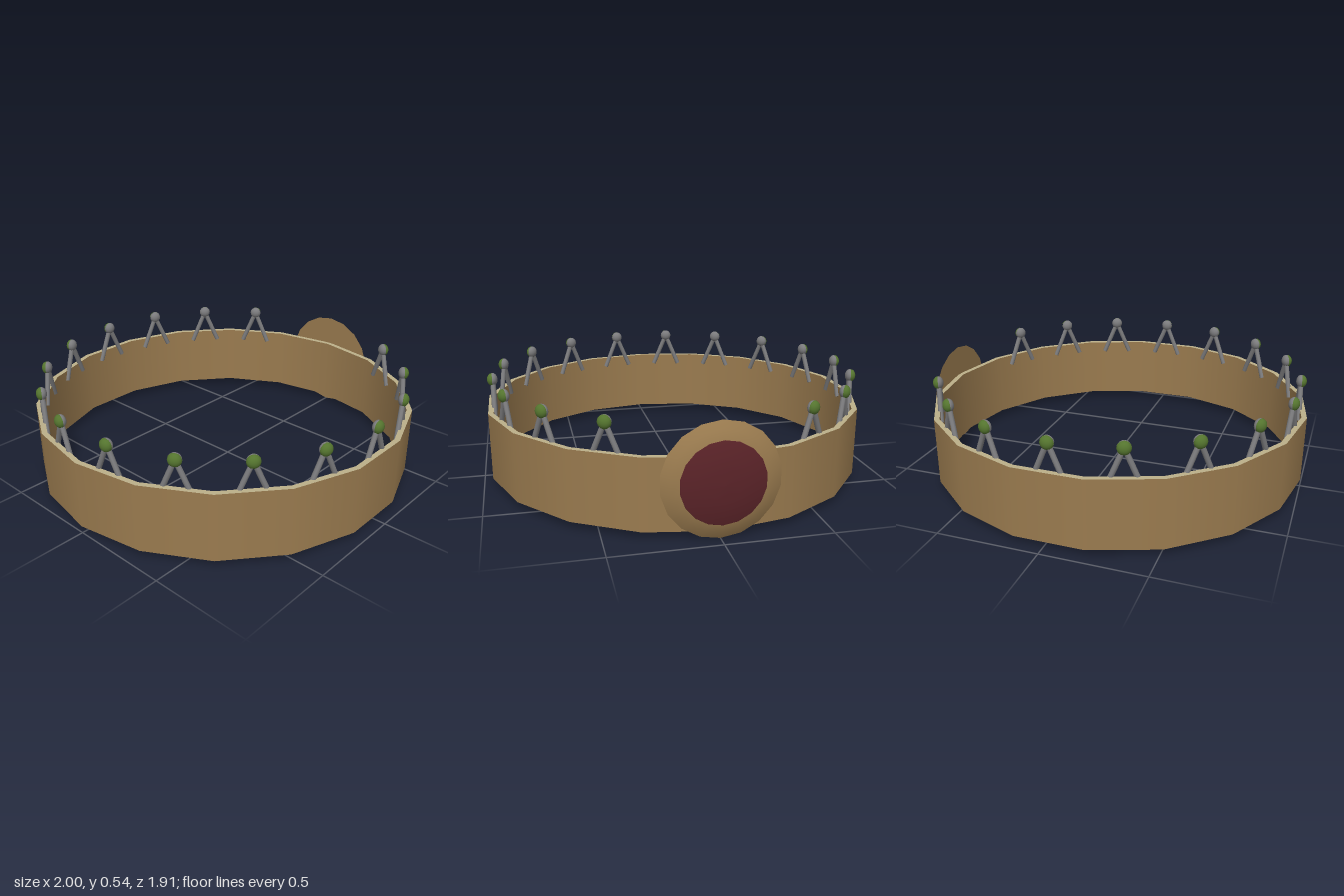
import * as THREE from 'three';

const SIDES = 18, R_OUT = 0.97, R_IN = 0.943, Y0 = 0.035, Y1 = 0.375;

function mat(name, color, side = THREE.FrontSide) {
  const m = new THREE.MeshStandardMaterial({ color, side });
  m.name = name;
  return m;
}

export function createModel() {
  const leather = mat('tan brown', 0x9a7b4f, THREE.DoubleSide);
  const cream = mat('cream', 0xbcb08a);
  const red = mat('dark red', 0x5a2328);
  const grey = mat('metal grey', 0x7c7c7e);
  const green = mat('gem green', 0x55752f);

  const model = new THREE.Group();
  model.name = 'crown';
  const add = (parent, name, geo, material) => {
    const m = new THREE.Mesh(geo, material);
    m.name = name;
    parent.add(m);
    return m;
  };

  // Everything circular is centred slightly left so the medallion fits
  const circlet = new THREE.Group();
  circlet.name = 'circlet';
  circlet.position.x = -0.03;
  model.add(circlet);

  // Band walls and edges
  const wall = (r) => new THREE.CylinderGeometry(r, r, Y1 - Y0, SIDES, 1, true, Math.PI / 2);
  add(circlet, 'bandOuter', wall(R_OUT), leather).position.y = (Y0 + Y1) / 2;
  add(circlet, 'bandInner', wall(R_IN), leather).position.y = (Y0 + Y1) / 2;
  const edge = new THREE.RingGeometry(R_IN, R_OUT, SIDES, 1);
  const top = add(circlet, 'topEdge', edge, cream);
  top.rotation.x = -Math.PI / 2;
  top.position.y = Y1;
  const bottom = add(circlet, 'bottomEdge', edge, leather);
  bottom.rotation.x = Math.PI / 2;
  bottom.position.y = Y0;

  // V-shaped prongs, one on each band face except the two behind the medallion
  const apex = new THREE.Vector3(0, 0.505, 0);
  const ballGeo = new THREE.SphereGeometry(0.032, 12, 8);
  const gemGeo = new THREE.SphereGeometry(0.032, 12, 6, 0, Math.PI * 2, 0, Math.PI / 2);
  gemGeo.rotateX(Math.PI / 2);
  for (let i = 1; i < SIDES - 1; i++) {
    const a = THREE.MathUtils.degToRad(10 + 20 * i);
    const prong = new THREE.Group();
    prong.name = 'prong';
    prong.position.set(Math.cos(a) * 0.926, 0, Math.sin(a) * 0.926);
    prong.rotation.y = Math.PI / 2 - a;
    circlet.add(prong);
    for (const s of [-1, 1]) {
      const foot = new THREE.Vector3(s * 0.078, 0.32, 0);
      const dir = apex.clone().sub(foot);
      const leg = add(prong, 'prongLeg', new THREE.CylinderGeometry(0.013, 0.013, dir.length(), 8), grey);
      leg.position.copy(foot).addScaledVector(dir, 0.5);
      leg.quaternion.setFromUnitVectors(new THREE.Vector3(0, 1, 0), dir.normalize());
    }
    const ball = add(prong, 'prongBall', ballGeo, grey);
    ball.position.y = 0.505;
    ball.scale.z = 0.75;
    const gem = add(prong, 'prongGem', gemGeo, green);
    gem.position.set(0, 0.505, 0.003);
    gem.scale.set(1.02, 1.02, 0.8);
  }

  // Domed medallion on the left side
  const medallion = new THREE.Group();
  medallion.name = 'medallion';
  medallion.position.set(0.936, 0.267, 0);
  medallion.rotation.z = -Math.PI / 2;
  model.add(medallion);
  const dome = (points) => new THREE.LatheGeometry(
    points.map(([r, h]) => new THREE.Vector2(r, h)), SIDES, Math.PI / 2);
  add(medallion, 'medallionDome',
    dome([[0.267, 0], [0.23, 0.022], [0.19, 0.037], [0.13, 0.051], [0.07, 0.059], [0, 0.061]]), leather);
  add(medallion, 'medallionStone',
    dome([[0.19, 0.037], [0.188, 0.040], [0.13, 0.054], [0.07, 0.062], [0, 0.064]]), red);
  const back = add(medallion, 'medallionBack', new THREE.CircleGeometry(0.267, SIDES, Math.PI / 2), leather);
  back.rotation.set(Math.PI / 2, 0, Math.PI / 2);

  return model;
}
